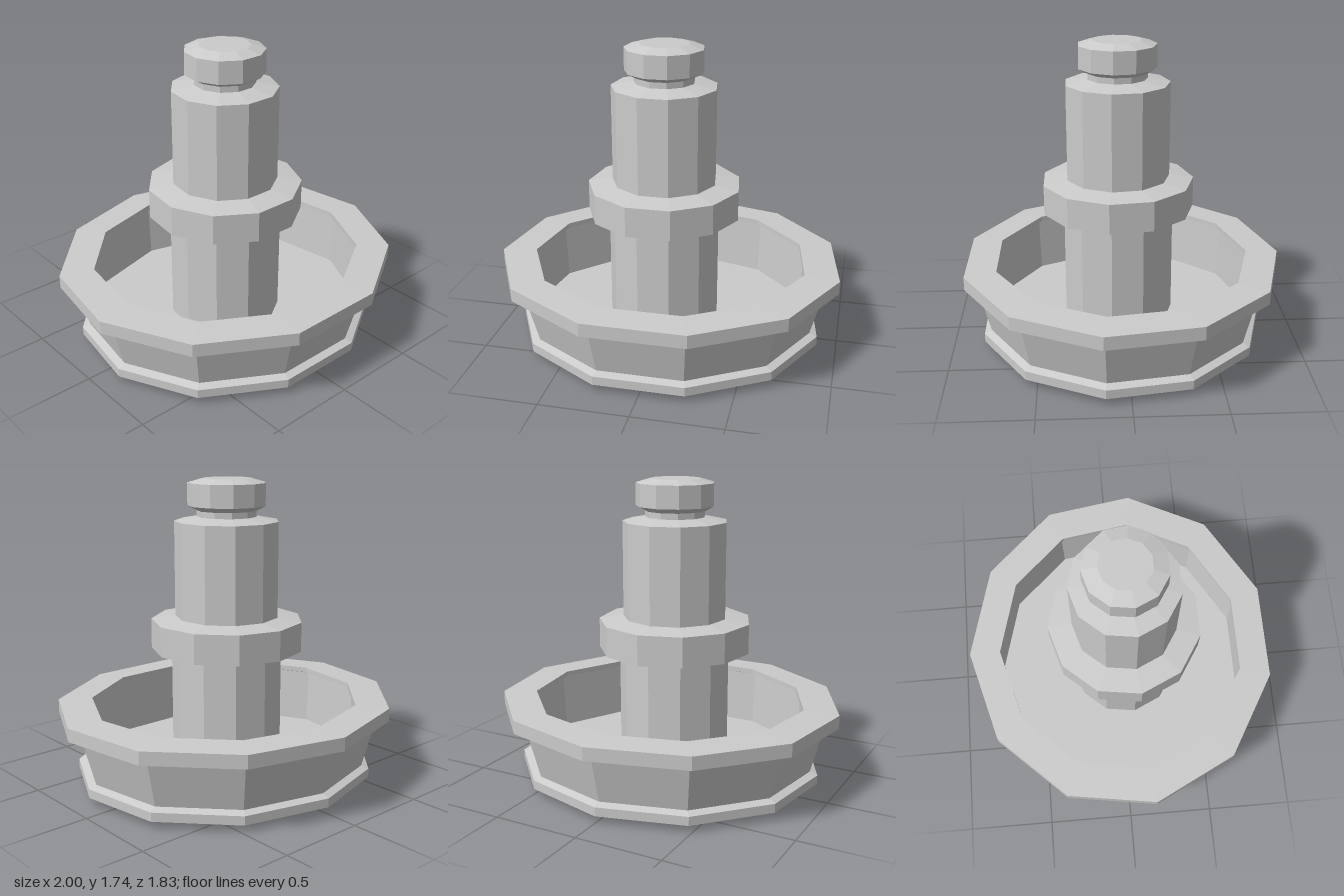
import * as THREE from 'three';

const SIDES = 11;

export function createModel() {
  const model = new THREE.Group();
  const material = new THREE.MeshStandardMaterial({ color: 0xcccccc, flatShading: true });

  // Faceted turned part: [radius, height] points, one corner pointing to the back
  function turned(name, profile) {
    const points = profile.map(([r, y]) => new THREE.Vector2(r, y));
    const mesh = new THREE.Mesh(new THREE.LatheGeometry(points, SIDES, Math.PI), material);
    mesh.name = name;
    return mesh;
  }

  // Hollow pulley dish: base, flared wall, top rim with an inner lip, recessed inner wall, floor
  const dish = turned('pulleyDish', [
    [0, 0.04], [0.9, 0.04], [0.9, 0.091], [0.855, 0.107],
    [0.926, 0.367], [1.01, 0.387], [1.01, 0.463], [0.808, 0.47],
    [0.808, 0.44], [0.84, 0.43], [0.825, 0.11], [0, 0.11],
  ]);
  dish.scale.z = 0.926;
  dish.position.z = 0.018;
  model.add(dish);

  // Slightly off-centre stepped shaft
  const shaft = new THREE.Group();
  shaft.name = 'shaft';
  shaft.position.set(-0.029, 0, 0.036);
  shaft.add(
    turned('lowerShaft', [[0, 0], [0.323, 0], [0.323, 0.75], [0, 0.75]]),
    turned('collar', [
      [0, 0.742], [0.323, 0.742], [0.4415, 0.76], [0.4415, 0.932], [0.302, 0.952], [0, 0.952],
    ]),
    turned('upperShaft', [[0, 0.94], [0.301, 0.94], [0.301, 1.502], [0.172, 1.526], [0, 1.526]]),
    turned('neck', [[0, 1.52], [0.172, 1.52], [0.172, 1.57], [0, 1.57]]),
    turned('head', [
      [0, 1.56], [0.172, 1.56], [0.225, 1.588], [0.225, 1.716], [0.142, 1.74], [0, 1.74],
    ]),
  );
  model.add(shaft);

  return model;
}
